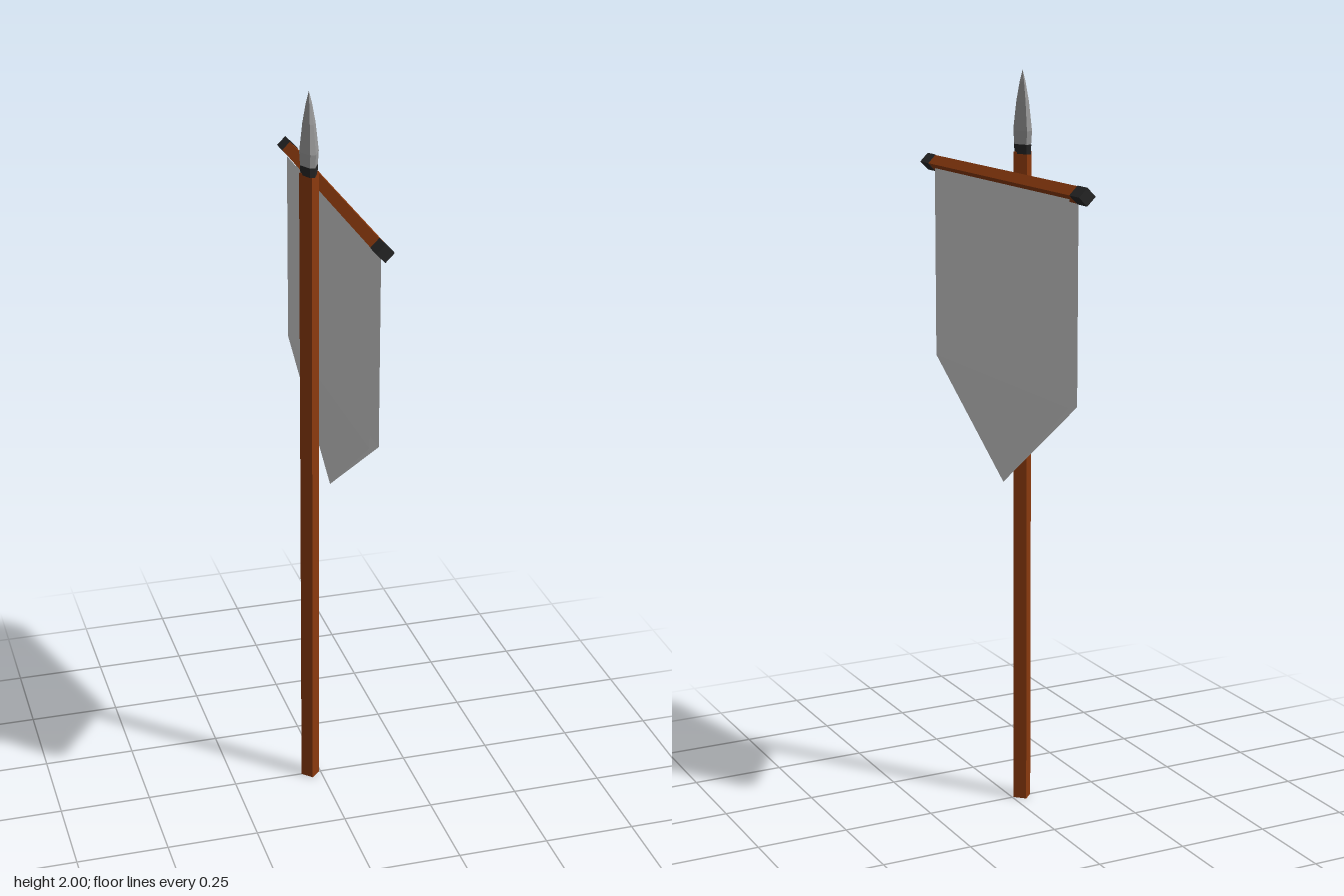
import * as THREE from 'three';

const mat = (color, side = THREE.FrontSide) =>
  new THREE.MeshStandardMaterial({ color, side, flatShading: true });

const wood = mat(0x8b3a0e);
const black = mat(0x262626);
const steel = mat(0x999999);
const cloth = mat(0xcccccc, THREE.DoubleSide);

const POLE_X = -0.03;
const BAR_X = 0.03, BAR_Y = 1.724;

function add(group, name, geometry, material, x = 0, y = 0, z = 0) {
  const mesh = new THREE.Mesh(geometry, material);
  mesh.name = name;
  mesh.position.set(x, y, z);
  group.add(mesh);
  return mesh;
}

// Four-sided bar standing on edge, lying along z
function squareBar(radius, length) {
  return new THREE.CylinderGeometry(radius, radius, length, 4).rotateX(Math.PI / 2);
}

// Flattened six-sided solid: profile holds [half depth in z, height]
function blade(profile) {
  const points = profile.map(([r, y]) => new THREE.Vector2(r, y));
  const g = new THREE.LatheGeometry(points, 6, Math.PI / 6);
  const p = g.attributes.position;
  for (let i = 0; i < p.count; i++) {
    const x = p.getX(i), z = p.getZ(i);
    const onFlat = Math.abs(z) > 1e-4;
    p.setX(i, x * (onFlat ? 0.38 : 0.66));
    p.setZ(i, z / 0.866);
  }
  g.computeVertexNormals();
  return g;
}

// One pointed cloth sheet; it hangs straight, then its tip leans to the middle
function sheet(topX, tipX) {
  const g = new THREE.BufferGeometry();
  const w = 0.39, top = 1.712, low = 1.19, tip = 0.91;
  g.setAttribute('position', new THREE.Float32BufferAttribute([
    topX, top, w, topX, low, w, topX, low, -w, topX, top, -w, tipX, tip, 0,
  ], 3));
  g.setIndex([0, 1, 2, 0, 2, 3, 1, 4, 2]);
  g.computeVertexNormals();
  return g;
}

export function createModel() {
  const model = new THREE.Group();
  model.name = 'bannerOnSpear';

  // Pole with a diamond section
  add(model, 'pole', new THREE.CylinderGeometry(0.026, 0.026, 1.79, 4), wood, POLE_X, 0.895);

  // Spear collar and head
  add(model, 'spearCollar',
    blade([[0, 1.785], [0.034, 1.785], [0.036, 1.81], [0, 1.81]]), black, POLE_X);
  add(model, 'spearHead',
    blade([[0, 1.808], [0.035, 1.808], [0.039, 1.845], [0.026, 1.92], [0.012, 1.97], [0, 2]]),
    steel, POLE_X);

  // Crossbar with end caps
  add(model, 'crossbar', squareBar(0.0215, 0.84), wood, BAR_X, BAR_Y);
  for (const s of [1, -1]) {
    add(model, s > 0 ? 'frontCap' : 'backCap', squareBar(0.023, 0.05), black, BAR_X, BAR_Y, s * 0.435);
  }

  // Banner of two sheets joined at the tip
  const banner = new THREE.Group();
  banner.name = 'banner';
  add(banner, 'outerSheet', sheet(0.041, 0.027), cloth);
  add(banner, 'innerSheet', sheet(0.016, 0.027), cloth);
  model.add(banner);

  return model;
}
